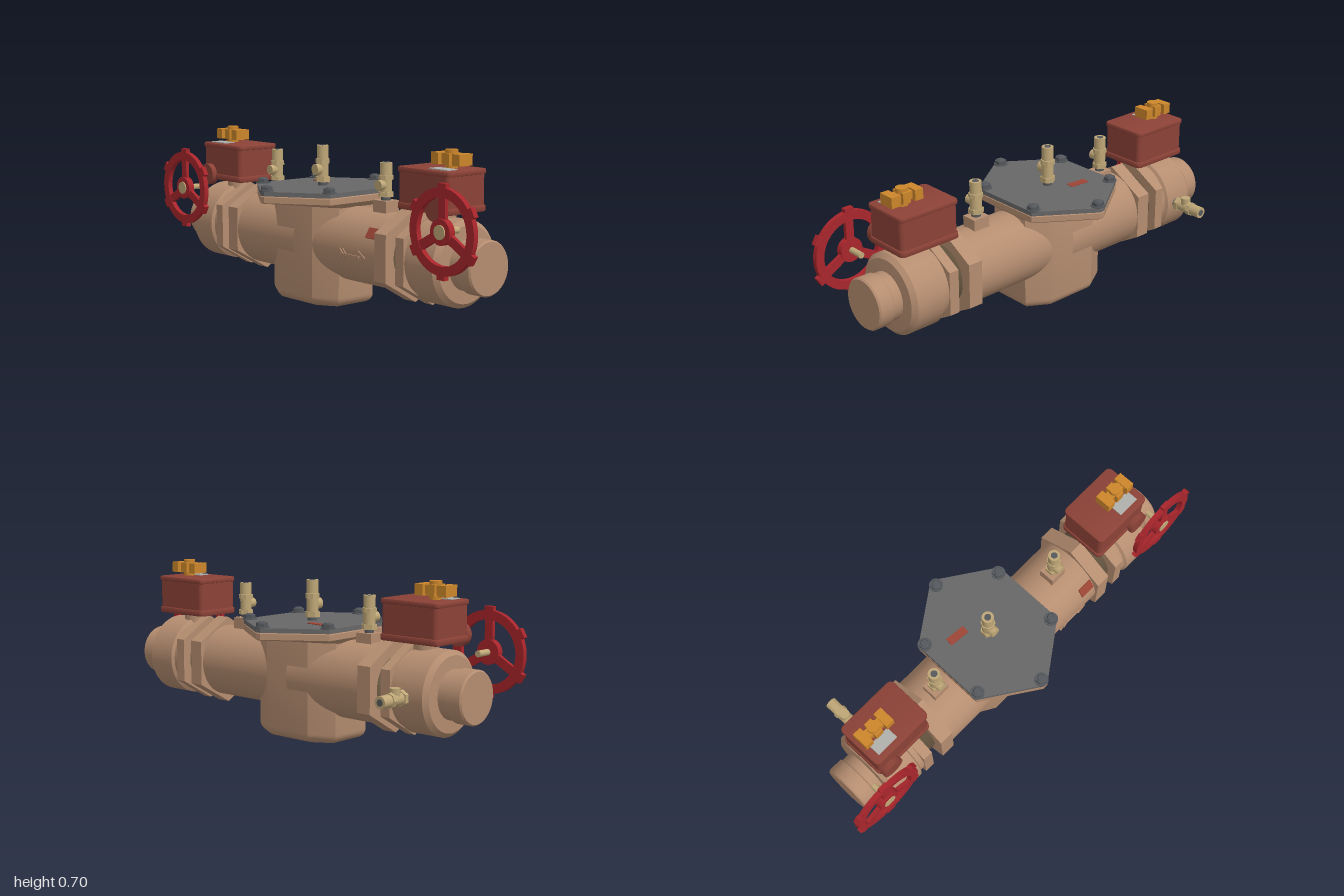
import * as THREE from 'three';
import { toCreasedNormals } from 'three/addons/utils/BufferGeometryUtils.js';
import { RoundedBoxGeometry } from 'three/addons/geometries/RoundedBoxGeometry.js';

const paint = (name, color) => {
  const m = new THREE.MeshStandardMaterial({ color });
  m.name = name;
  return m;
};
const AXIS = 0.265; // height of the pipe axis
const MID = -0.06;  // x of the central chamber

export function createModel() {
  const bronze = paint('bronze', 0xb58d70), housingRed = paint('housing red', 0x8c4237);
  const wheelRed = paint('wheel red', 0xa8252b), coverGrey = paint('cover grey', 0x676767);
  const boltGrey = paint('bolt grey', 0x55585c), brass = paint('brass', 0xbfa777);
  const orange = paint('orange', 0xcc862b), plateGrey = paint('plate grey', 0xb0b0ac);
  const threadBrown = paint('thread brown', 0x6e5c45), tagRed = paint('tag red', 0x9c4535);

  const model = new THREE.Group();
  const add = (parent, name, geo, mat, x = 0, y = 0, z = 0) => {
    const mesh = new THREE.Mesh(geo, mat);
    mesh.name = name;
    mesh.position.set(x, y, z);
    parent.add(mesh);
    return mesh;
  };
  const group = (parent, name, x = 0, y = 0, z = 0) => {
    const g = new THREE.Group();
    g.name = name;
    g.position.set(x, y, z);
    parent.add(g);
    return g;
  };
  const cyl = (r, h, n = 32, r2 = r) => new THREE.CylinderGeometry(r2, r, h, n);
  const box = (x, y, z) => new THREE.BoxGeometry(x, y, z);
  const outline = pts => new THREE.Shape(pts.map(p => new THREE.Vector2(p[0], p[1])));
  // lathe about the pipe axis; profile holds [radius, distance from centre]
  const turned = (pts, s) => toCreasedNormals(
    new THREE.LatheGeometry(pts.map(p => new THREE.Vector2(p[0], p[1])), 56).rotateZ(-s * Math.PI / 2), 0.5);
  // upright prism with an optional rounded edge
  const prism = (pts, h, bevel = 0, steps = 1) => toCreasedNormals(new THREE.ExtrudeGeometry(outline(pts), {
    depth: h - 2 * bevel, bevelEnabled: bevel > 0, bevelSize: bevel, bevelThickness: bevel,
    bevelOffset: -bevel, bevelSegments: steps,
  }).rotateX(-Math.PI / 2).translate(0, bevel, 0), 0.5);

  // Central chamber
  const chamber = group(model, 'chamber', MID);
  add(chamber, 'chamberBody', prism([[-0.215, -0.095], [-0.115, -0.155], [0.115, -0.155], [0.215, -0.095],
    [0.215, 0.095], [0.115, 0.155], [-0.115, 0.155], [-0.215, 0.095]], 0.46, 0.04, 5), bronze);
  const hex = [[-0.242, -0.165], [-0.012, -0.324], [0.012, -0.324], [0.242, -0.165],
    [0.242, 0.165], [0.012, 0.324], [-0.012, 0.324], [-0.242, 0.165]];
  add(chamber, 'chamberFlange', prism(hex, 0.032, 0.004), bronze, 0, 0.436);

  // Sloped underside of the flange, from a narrow loop to the full outline
  const pos = [];
  const low = hex.map(([x, z]) => [x * 0.88, 0.416, z * 0.47]);
  const high = hex.map(([x, z]) => [x * 0.99, 0.438, z * 0.99]);
  hex.forEach((_, i) => {
    const j = (i + 1) % hex.length;
    pos.push(...low[i], ...high[i], ...high[j], ...low[i], ...high[j], ...low[j]);
    pos.push(...low[0], ...low[i], ...low[j]);
  });
  const under = new THREE.BufferGeometry();
  under.setAttribute('position', new THREE.Float32BufferAttribute(pos, 3));
  under.computeVertexNormals();
  add(chamber, 'flangeUnderside', under, bronze);

  // Cover with six bolts and a tag
  add(chamber, 'cover', prism(hex, 0.019), coverGrey, 0, 0.468);
  for (const [x, z] of [[0, 0.3], [0, -0.3], [0.22, 0.15], [0.22, -0.15], [-0.22, 0.15], [-0.22, -0.15]]) {
    add(chamber, 'washer', cyl(0.03, 0.005, 20), boltGrey, x, 0.4885, z);
    add(chamber, 'boltHead', toCreasedNormals(cyl(0.025, 0.016, 6), 0.5), boltGrey, x, 0.498, z);
    add(chamber, 'boltTip', cyl(0.018, 0.006, 16, 0.014), boltGrey, x, 0.508, z);
  }
  add(chamber, 'coverTag', box(0.09, 0.004, 0.035), tagRed, -0.1, 0.488, -0.08).rotation.y = -0.1;

  // Main pipes either side of the chamber
  add(model, 'leftPipe', turned([[0.155, -0.06], [0.155, 0.46]], 1), bronze, 0, AXIS);
  add(model, 'rightPipe', turned([[0.163, 0.06], [0.163, 0.46]], -1), bronze, 0, AXIS);

  // Flow arrow and tag on the front of the pipe
  const arrow = group(model, 'flowArrow', 0.305, 0.25, 0.155);
  add(arrow, 'arrowShaft', box(0.11, 0.008, 0.008), bronze, -0.01);
  for (const s of [1, -1]) {
    add(arrow, 'arrowBarb', box(0.045, 0.008, 0.008), bronze, 0.056, s * 0.011, 0).rotation.z = -s * 0.55;
    for (const x of [-0.065, -0.045])
      add(arrow, 'arrowFeather', box(0.03, 0.006, 0.008), bronze, x, s * 0.011, 0).rotation.z = -s * 0.8;
  }
  add(model, 'pipeTag', box(0.07, 0.045, 0.006), tagRed, 0.408, 0.35, 0.133).rotation.x = -0.57;

  // Small test valve standing on its origin, outlet facing +z
  const testValve = (parent, x, y, z, stretch = 1) => {
    const g = group(parent, 'testValve', x, y, z);
    g.scale.y = stretch;
    add(g, 'testNeck', cyl(0.02, 0.016, 20), boltGrey, 0, 0.008);
    add(g, 'testNut', toCreasedNormals(cyl(0.032, 0.02, 6), 0.5), brass, 0, 0.024);
    add(g, 'testBody', cyl(0.025, 0.06, 24), brass, 0, 0.06);
    add(g, 'testCollar', toCreasedNormals(cyl(0.03, 0.018, 8), 0.5), brass, 0, 0.092);
    add(g, 'testTip', cyl(0.025, 0.05, 24), brass, 0, 0.127);
    add(g, 'testBore', cyl(0.014, 0.002, 16), boltGrey, 0, 0.152);
    add(g, 'testStem', cyl(0.021, 0.042, 20).rotateX(Math.PI / 2), brass, 0, 0.062, 0.023);
    return g;
  };
  for (const x of [-0.37, 0.335]) {
    add(model, 'testBoss', box(0.078, 0.06, 0.07), bronze, x, 0.435, 0);
    testValve(model, x, 0.465, 0);
  }
  testValve(model, MID, 0.486, 0, 1.13);
  testValve(model, -0.69, AXIS, -0.168).rotation.set(-Math.PI / 2, 0, 0);

  // Handwheel, face toward +z
  const handwheel = (parent, x) => {
    const g = group(parent, 'handwheel', x, 0.415, 0.165);
    const rim = new THREE.Shape().absarc(0, 0, 0.165, 0, Math.PI * 2);
    rim.holes.push(new THREE.Path().absarc(0, 0, 0.128, 0, Math.PI * 2, true));
    add(g, 'wheelRim', toCreasedNormals(new THREE.ExtrudeGeometry(rim,
      { depth: 0.022, bevelEnabled: false, curveSegments: 40 }), 0.5), wheelRed);
    for (let i = 0; i < 6; i++) {
      const a = Math.PI / 2 + i * Math.PI / 3;
      const lug = add(g, 'wheelLug', box(0.03, 0.04, 0.022), wheelRed,
        Math.cos(a) * 0.165, Math.sin(a) * 0.165, 0.011);
      lug.rotation.z = a;
      if (i % 2) continue;
      add(g, 'wheelSpoke', box(0.115, 0.036, 0.016), wheelRed,
        Math.cos(a) * 0.085, Math.sin(a) * 0.085, 0.012).rotation.z = a;
    }
    add(g, 'wheelHub', cyl(0.05, 0.028).rotateX(Math.PI / 2), wheelRed, 0, 0, 0.014);
    add(g, 'wheelNut', cyl(0.028, 0.008, 24).rotateX(Math.PI / 2), brass, 0, 0, 0.029);
    add(g, 'wheelShaft', cyl(0.013, 0.07, 20).rotateX(Math.PI / 2), brass, 0, 0, -0.03);
  };

  // Shutoff valve assembly at each end
  const hexNut = (r, w) => toCreasedNormals(cyl(r, w, 6).rotateY(Math.PI / 6).rotateZ(Math.PI / 2), 0.5);
  for (const s of [1, -1]) {
    const end = group(model, s > 0 ? 'leftShutoff' : 'rightShutoff');
    add(end, 'pipeNut', hexNut(0.191, 0.065), bronze, s * 0.481, AXIS);
    add(end, 'valveNut', hexNut(0.187, 0.045), bronze, s * 0.587, AXIS);
    const ridges = [];
    for (let i = 0; i <= 10; i++) ridges.push([i % 2 ? 0.126 : 0.116, 0.505 + i * 0.0065]);
    add(end, 'thread', turned(ridges, s), threadBrown, 0, AXIS);
    add(end, 'valveBody', turned([[0.158, 0.6], [0.158, 0.632], [0.171, 0.64], [0.171, 0.772], [0.152, 0.79],
      [0.1, 0.792], [0.1, 0.832], [0.108, 0.838], [0.108, 0.898], [0.102, 0.905], [0, 0.905]], s), bronze, 0, AXIS);
    add(end, 'housingNeck', cyl(0.05, 0.08), bronze, s * 0.66, 0.425);

    // Gear housing with rims, indicator and label plate
    const cx = s * 0.648;
    add(end, 'housing', new RoundedBoxGeometry(0.274, 0.16, 0.206, 3, 0.02), housingRed, cx, 0.542, 0);
    const rim = (w, d) => {
      const pts = [];
      for (const [qx, qz, a0] of [[1, 1, 0], [-1, 1, 1], [-1, -1, 2], [1, -1, 3]])
        for (let k = 0; k <= 4; k++) {
          const a = (a0 + k / 4) * Math.PI / 2;
          pts.push([qx * (w / 2 - 0.022) + 0.022 * Math.cos(a), qz * (d / 2 - 0.022) + 0.022 * Math.sin(a)]);
        }
      return pts;
    };
    add(end, 'housingLid', prism(rim(0.285, 0.216), 0.021, 0.005, 2), housingRed, cx, 0.604);
    add(end, 'housingBase', prism(rim(0.285, 0.216), 0.026, 0.005, 2), housingRed, cx, 0.46);
    add(end, 'housingBoss', cyl(0.048, 0.03).rotateX(Math.PI / 2), housingRed, s * 0.735, 0.482, 0.112);
    add(end, 'labelPlate', box(0.1, 0.004, 0.055), plateGrey, s * 0.706, 0.6265, 0.053);
    const dial = group(end, 'indicator', s * 0.7, 0.662, 0);
    add(dial, 'indicatorStem', cyl(0.025, 0.072, 24), orange);
    add(dial, 'indicatorBar', box(0.13, 0.034, 0.036), orange);
    for (const d of [-1, 1]) add(dial, 'indicatorEnd', box(0.038, 0.045, 0.072), orange, d * 0.056);
    add(dial, 'indicatorHead', box(0.036, 0.045, 0.066), orange);
    handwheel(end, s * 0.832);
  }
  return model;
}
